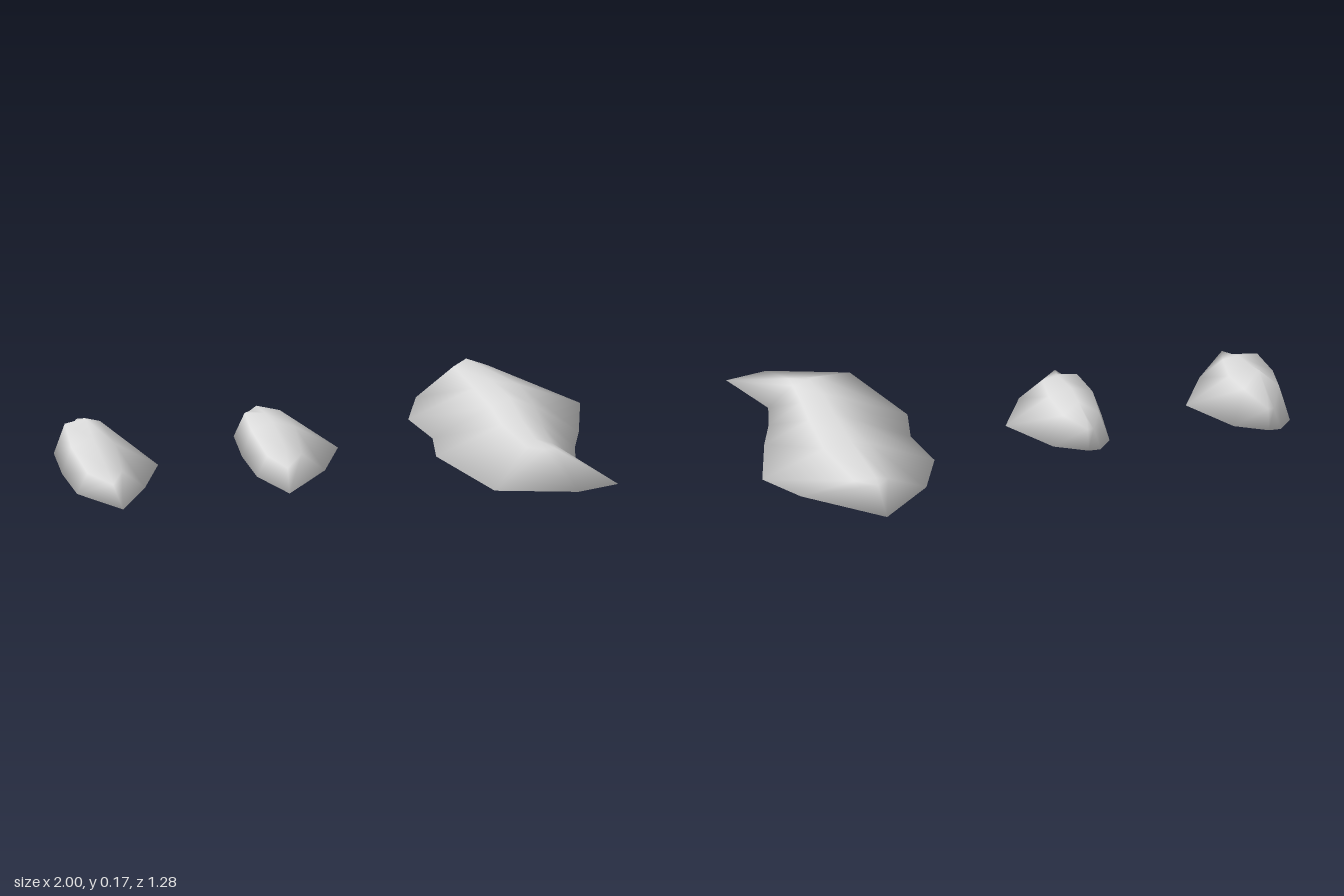
import * as THREE from 'three';
import { mergeVertices } from 'three/addons/utils/BufferGeometryUtils.js';

const stone = new THREE.MeshStandardMaterial({ color: 0xdcdcdc });
stone.name = 'paleStone';

// Smooth normals weighted by corner angle, so big faces do not dominate the rim
function smoothByAngle(geometry) {
  const position = geometry.attributes.position, index = geometry.index;
  const normals = Array.from({ length: position.count }, () => new THREE.Vector3());
  for (let f = 0; f < index.count; f += 3) {
    const ids = [0, 1, 2].map((k) => index.getX(f + k));
    const p = ids.map((id) => new THREE.Vector3().fromBufferAttribute(position, id));
    const face = new THREE.Triangle(...p).getNormal(new THREE.Vector3());
    ids.forEach((id, k) => {
      const u = p[(k + 1) % 3].clone().sub(p[k]), v = p[(k + 2) % 3].clone().sub(p[k]);
      normals[id].addScaledVector(face, u.angleTo(v));
    });
  }
  const flat = normals.flatMap((v) => v.normalize().toArray());
  geometry.setAttribute('normal', new THREE.Float32BufferAttribute(flat, 3));
}

// Closed mound: ground outline, shoulder ring, ridge line and flat underside.
// outline: [x, z, ridge index, shoulder position from edge (0) to ridge (1), shoulder height]
function mound(name, outline, ridge) {
  const n = outline.length, positions = [], index = [];
  for (let ring = 0; ring < 3; ring++) {
    for (const [x, z, r, shoulder, shoulderY] of outline) {
      const [rx, ry, rz] = ridge[r];
      const t = [0, shoulder, 1][ring];
      positions.push(x + (rx - x) * t, [0, shoulderY, ry][ring], z + (rz - z) * t);
    }
  }
  for (let ring = 0; ring < 2; ring++) {
    for (let i = 0; i < n; i++) {
      const j = (i + 1) % n, a = ring * n + i, b = ring * n + j;
      index.push(a, b, b + n);
      // the last ring collapses where neighbours share a ridge point
      if (ring === 0 || outline[i][2] !== outline[j][2]) index.push(a, b + n, a + n);
    }
  }
  // Underside, wound to face down
  const ground = outline.map(([x, z]) => new THREE.Vector2(x, z));
  for (const [a, b, c] of THREE.ShapeUtils.triangulateShape(ground, [])) {
    const flip = THREE.ShapeUtils.isClockWise([ground[a], ground[b], ground[c]]);
    index.push(a, ...(flip ? [c, b] : [b, c]));
  }
  let geometry = new THREE.BufferGeometry();
  geometry.setAttribute('position', new THREE.Float32BufferAttribute(positions, 3));
  geometry.setIndex(index);
  geometry = mergeVertices(geometry, 1e-4);
  smoothByAngle(geometry);
  const mesh = new THREE.Mesh(geometry, stone);
  mesh.name = name;
  return mesh;
}

// Small mound with a steep right flank, gentle left flank and pointed front
function smallMound(name, x, tipX, backShoulderY, ridgeY) {
  const mesh = mound(name, [
    [-0.04, -0.295, 0, 0.5, 0.075], [-0.09, -0.23, 1, 0.35, backShoulderY],
    [-0.115, -0.02, 2, 0.3, 0.1], [-0.115, 0.19, 3, 0.35, 0.075],
    [tipX, 0.385, 3, 0.6, 0.048], [0.14, 0.19, 3, 0.6, 0.068],
    [0.245, -0.02, 2, 0.66, 0.098], [0.12, -0.23, 1, 0.4, backShoulderY],
    [0.005, -0.295, 0, 0.5, 0.075],
  ], [-0.25, -0.13, -0.02, 0.17].map((z, i) => [0, ridgeY[i], z]));
  mesh.position.x = x;
  return mesh;
}

export function createModel() {
  const model = new THREE.Group();
  model.name = 'mounds';

  // Long mound with a bent front foot
  model.add(mound('largeMound', [
    [0.64, -0.645, 0, 0.8, 0.082], [0.44, -0.44, 0, 0.75, 0.082], [0.355, -0.23, 1, 0.78, 0.097],
    [0.39, -0.02, 2, 0.75, 0.1], [0.355, 0.16, 3, 0.78, 0.1], [0.47, 0.55, 4, 0.8, 0.087],
    [0.76, 0.64, 4, 0.8, 0.08], [0.92, 0.60, 4, 0.75, 0.08], [0.83, 0.34, 4, 0.6, 0.08],
    [0.865, 0.2, 3, 0.6, 0.09], [0.92, 0.05, 2, 0.65, 0.1], [1.0, -0.23, 1, 0.7, 0.095],
    [0.9, -0.40, 0, 0.72, 0.08],
  ], [
    [0.65, 0.1, -0.52], [0.67, 0.118, -0.23], [0.68, 0.13, -0.02],
    [0.67, 0.12, 0.16], [0.68, 0.1, 0.33],
  ]));

  // Two small mounds; the right one swells into a hump at the back
  model.add(smallMound('middleMound', -0.21, -0.045, 0.1, [0.102, 0.118, 0.124, 0.083]));
  model.add(smallMound('rightMound', -0.885, 0.005, 0.125, [0.118, 0.165, 0.13, 0.083]));

  return model;
}
